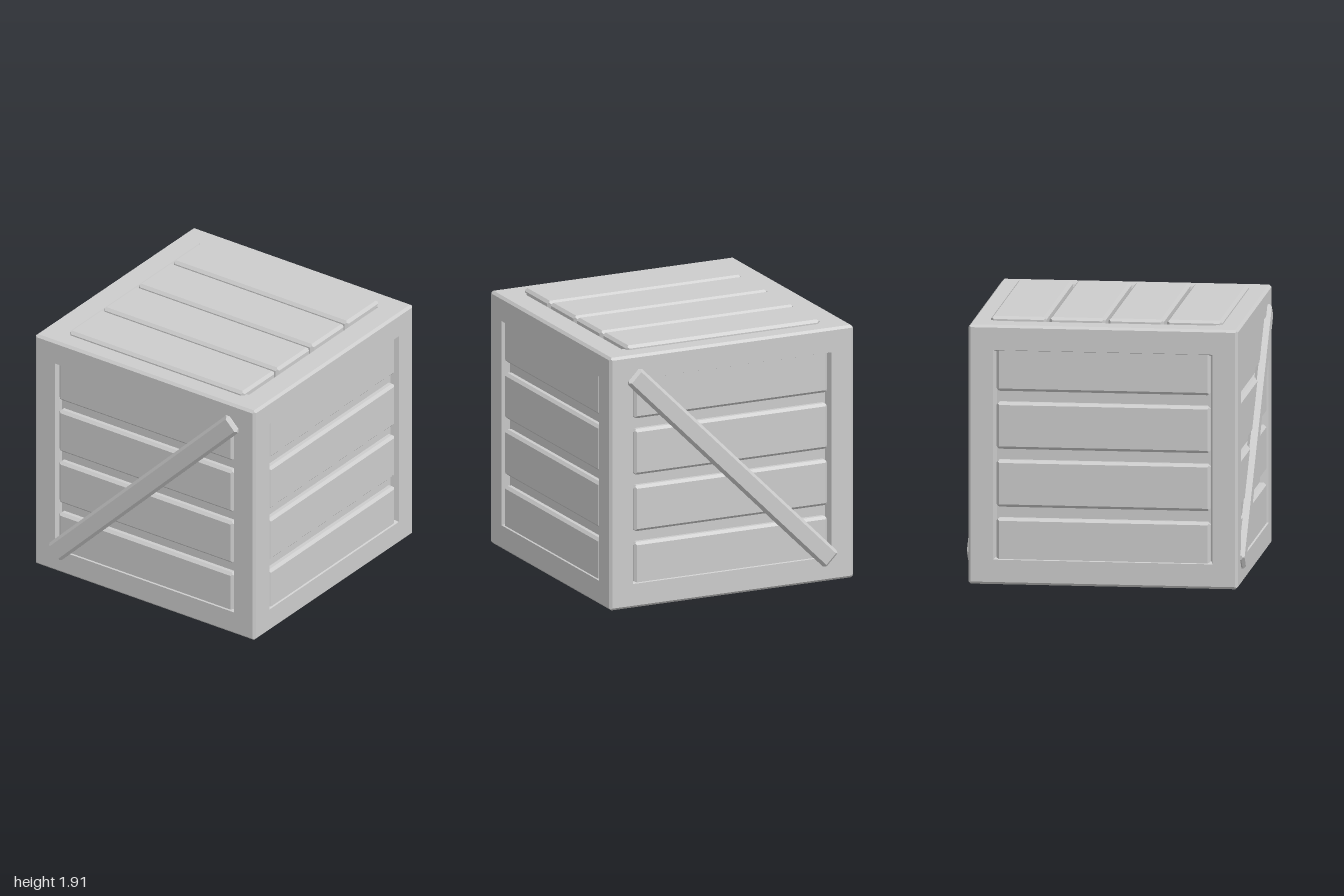
import * as THREE from 'three';

// Box with chamfered edges; a recess {margin, slope, depth} sinks a sloped panel into every side.
function chamferedBox(w, h, d, bevel, recess) {
  const half = [w / 2, h / 2, d / 2];
  const rings = [[bevel / 2, bevel / 2], [bevel, 0]]; // [inset, depth] from each side
  if (recess) rings.push([recess.margin, 0], [recess.margin + recess.slope, recess.depth]);
  const corners = [[-1, -1], [1, -1], [1, 1], [-1, 1]];
  const pos = [];
  for (let axis = 0; axis < 3; axis++) {
    const u = (axis + 1) % 3, v = (axis + 2) % 3;
    for (const side of [-1, 1]) {
      const point = ([inset, depth], k) => {
        const p = [0, 0, 0];
        p[axis] = side * (half[axis] - depth);
        p[u] = side * corners[k][0] * (half[u] - inset);
        p[v] = corners[k][1] * (half[v] - inset);
        return p;
      };
      const quad = (a, b, c, e) => pos.push(...a, ...b, ...c, ...a, ...c, ...e);
      for (let r = 0; r + 1 < rings.length; r++) {
        for (let k = 0; k < 4; k++) {
          const n = (k + 1) % 4;
          quad(point(rings[r], k), point(rings[r], n), point(rings[r + 1], n), point(rings[r + 1], k));
        }
      }
      const last = rings[rings.length - 1];
      quad(point(last, 0), point(last, 1), point(last, 2), point(last, 3));
    }
  }
  const geometry = new THREE.BufferGeometry();
  geometry.setAttribute('position', new THREE.Float32BufferAttribute(pos, 3));
  geometry.computeVertexNormals();
  return geometry;
}

export function createModel() {
  const crate = new THREE.Group();
  crate.name = 'crate';
  const grey = new THREE.MeshStandardMaterial({ color: 0xcccccc });
  grey.name = 'plain grey';

  const add = (parent, name, geometry, x, y, z) => {
    const mesh = new THREE.Mesh(geometry, grey);
    mesh.name = name;
    mesh.position.set(x, y, z);
    parent.add(mesh);
    return mesh;
  };

  // Frame with a sunken panel on all six sides
  const body = chamferedBox(1.94, 1.88, 1.94, 0.018, { margin: 0.18, slope: 0.02, depth: 0.06 });
  add(crate, 'frame', body, 0, 0.94, 0);

  // Four horizontal planks on each upright side
  const sidePlank = chamferedBox(1.54, 0.34, 0.1, 0.02);
  ['front', 'left', 'back', 'right'].forEach((side, i) => {
    const wall = new THREE.Group();
    wall.name = side + 'Planks';
    wall.rotation.y = i * Math.PI / 2;
    for (let j = 0; j < 4; j++) add(wall, 'sidePlank', sidePlank, 0, 0.31 + 0.42 * j, 0.908);
    crate.add(wall);
  });

  // Raised lid planks
  const lidPlank = chamferedBox(1.54, 0.1, 0.4, 0.02);
  for (let j = 0; j < 4; j++) add(crate, 'lidPlank', lidPlank, 0, 1.86, -0.633 + 0.422 * j);

  // Diagonal braces on front and back
  const brace = chamferedBox(2.235, 0.152, 0.07, 0.022);
  for (const side of [1, -1]) {
    const mesh = add(crate, side > 0 ? 'frontBrace' : 'backBrace', brace, 0, 0.945, side * 0.965);
    mesh.rotation.z = Math.PI / 4;
  }
  return crate;
}
